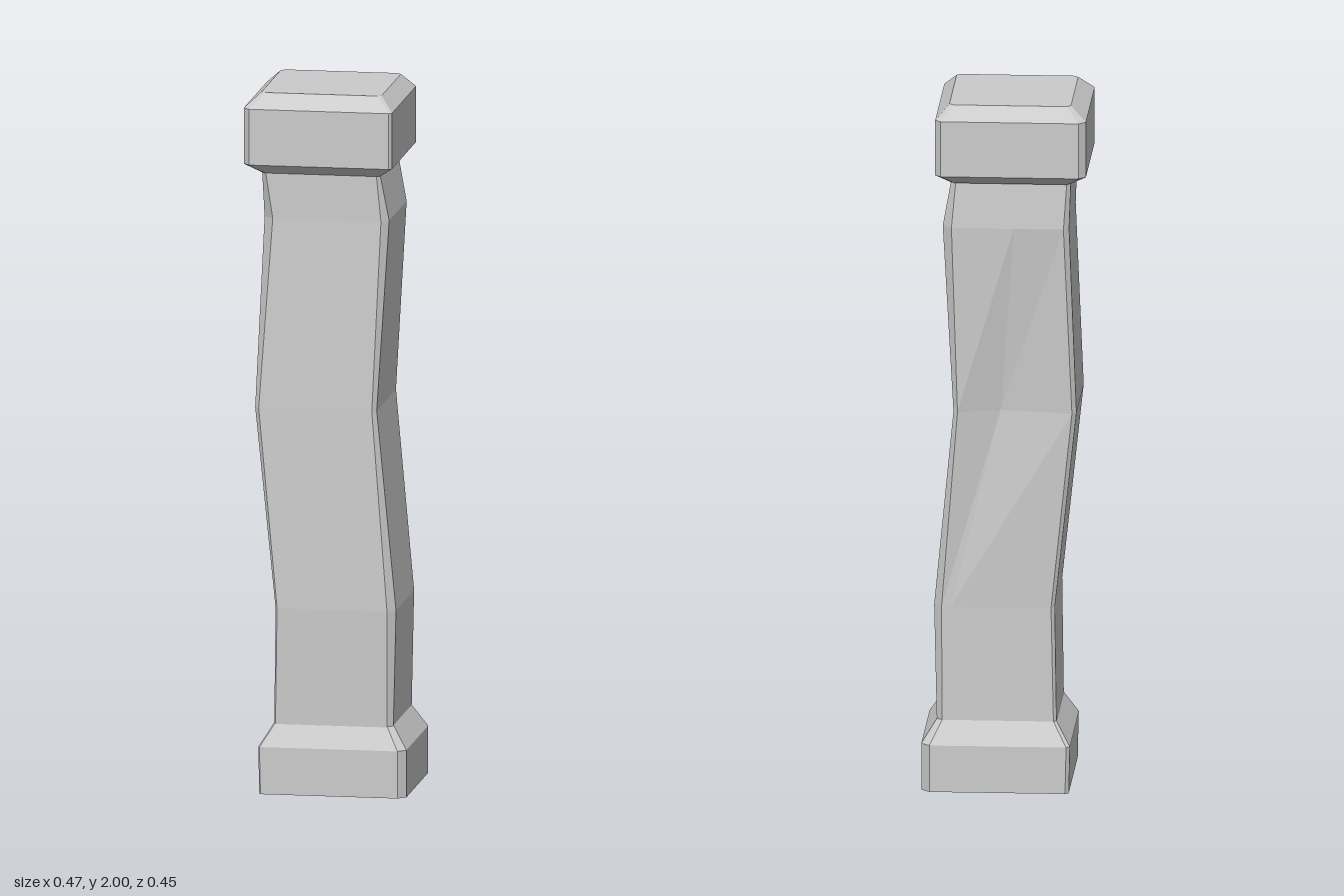
import * as THREE from 'three';

const material = new THREE.MeshStandardMaterial({ color: 0xcccccc, flatShading: true });

// Chamfered rectangle, counter-clockwise from above.
// corners: chamfer of frontRight, backRight, backLeft, frontLeft (+x is right here)
// dent: [x, z] of an extra point on the back edge
function ring(y, x0, x1, z0, z1, [fr, br, bl, fl], dent = [(x0 + x1) / 2, z0]) {
  return [
    [x0 + fl, z1], [x1 - fr, z1],
    [x1, z1 - fr], [x1, z0 + br],
    [x1 - br, z0], dent, [x0 + bl, z0],
    [x0, z0 + bl], [x0, z1 - fl],
  ].map(([x, z]) => new THREE.Vector3(x, y, z));
}

// Joins rings from bottom to top and closes both ends
function loft(name, rings) {
  const points = [];
  const tri = (...p) => p.forEach((v) => points.push(v));
  const n = rings[0].length;
  for (let r = 0; r < rings.length - 1; r++) {
    const a = rings[r], b = rings[r + 1];
    for (let i = 0; i < n; i++) {
      const j = (i + 1) % n;
      tri(a[i], a[j], b[j]);
      tri(a[i], b[j], b[i]);
    }
  }
  const bottom = rings[0], top = rings[rings.length - 1];
  for (let i = 1; i < n - 1; i++) {
    tri(bottom[0], bottom[i + 1], bottom[i]);
    tri(top[0], top[i], top[i + 1]);
  }
  const geometry = new THREE.BufferGeometry().setFromPoints(points);
  geometry.computeVertexNormals();
  const mesh = new THREE.Mesh(geometry, material);
  mesh.name = name;
  return mesh;
}

export function createModel() {
  const group = new THREE.Group();
  group.name = 'stonePillar';

  // Foot block with sloped shoulder
  const footCorners = [0.022, 0.024, 0.01, 0.004];
  group.add(loft('base', [
    ring(0, -0.185, 0.232, -0.19, 0.226, footCorners),
    ring(0.135, -0.188, 0.232, -0.19, 0.226, footCorners),
    ring(0.2, -0.148, 0.19, -0.15, 0.19, [0.016, 0.016, 0.008, 0.004]),
  ]));

  // Crooked shaft with a chipped hollow on the back
  group.add(loft('shaft', [
    ring(0.19, -0.148, 0.19, -0.15, 0.192, [0.016, 0.016, 0.008, 0.004]),
    ring(0.53, -0.143, 0.198, -0.15, 0.2, [0.022, 0.022, 0.01, 0.005], [0.15, -0.15]),
    ring(1.1, -0.205, 0.142, -0.165, 0.185, [0.012, 0.012, 0.012, 0.012], [0.01, -0.13]),
    ring(1.64, -0.185, 0.172, -0.182, 0.16, [0.02, 0.026, 0.015, 0.028], [-0.03, -0.182]),
    ring(1.79, -0.19, 0.145, -0.168, 0.16, [0.008, 0.012, 0.01, 0.01]),
  ]));

  // Cap block, bevelled above and below
  const capCorners = [0.008, 0.016, 0.02, 0.018];
  group.add(loft('cap', [
    ring(1.77, -0.19, 0.15, -0.178, 0.163, [0.008, 0.012, 0.012, 0.012]),
    ring(1.8, -0.235, 0.19, -0.226, 0.207, capCorners),
    ring(1.96, -0.235, 0.19, -0.226, 0.207, capCorners),
    ring(2, -0.191, 0.152, -0.188, 0.158, [0.01, 0.012, 0.012, 0.012]),
  ]));

  return group;
}
